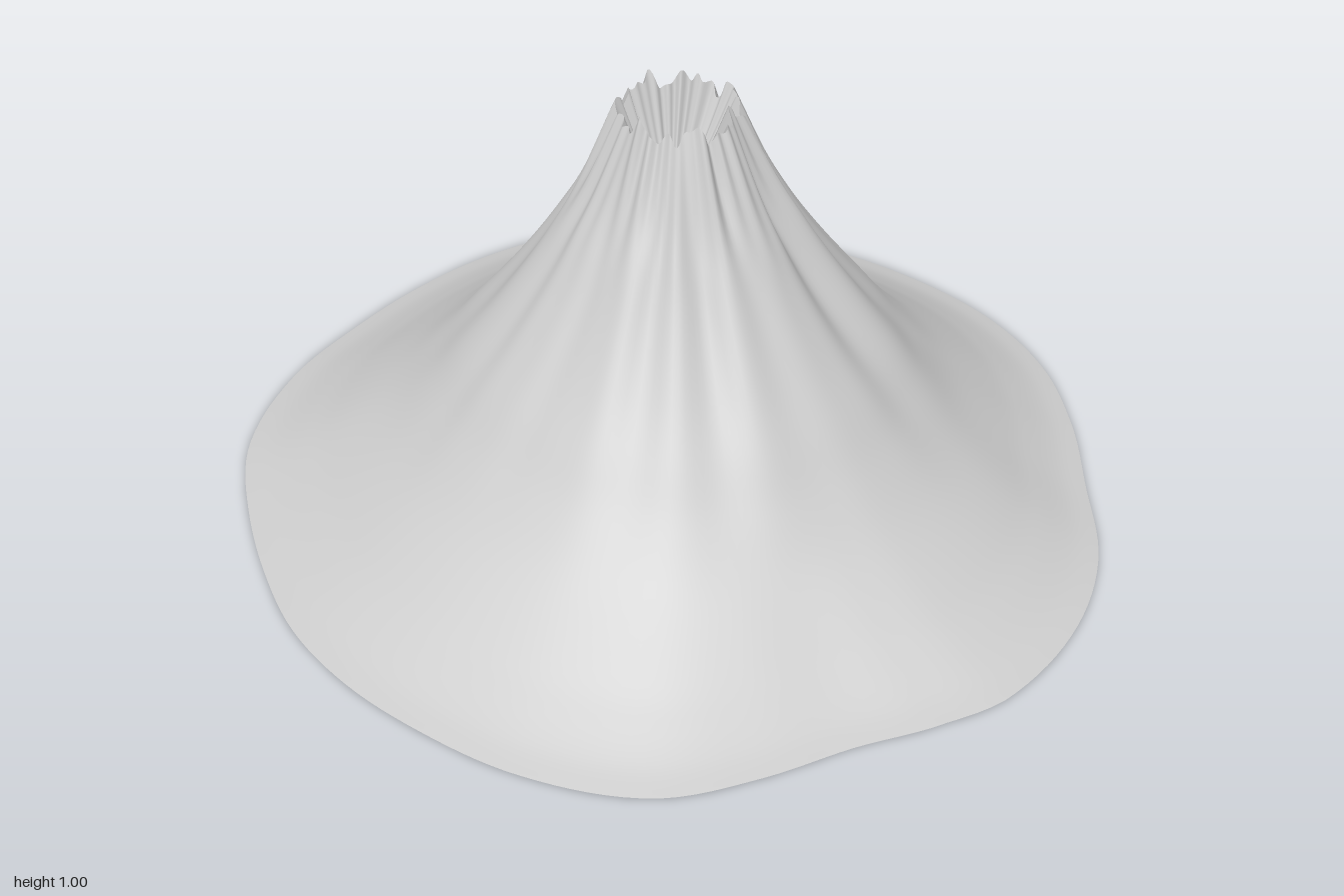
import * as THREE from 'three';

const SEG = 180;
const RIM = 0.128;
const rad = THREE.MathUtils.degToRad;
const smooth = THREE.MathUtils.smoothstep;

// Foot outline: angle in degrees (from +x towards +z) and radius
const outline = [
  [0, 0.99], [13, 0.985], [24, 0.965], [39, 0.953], [53.6, 0.994], [67, 1.012], [82, 1.008],
  [90, 0.978], [102, 0.946], [114, 0.97], [126.5, 1.008], [143, 1], [156, 0.987], [168, 0.99],
  [180, 0.995], [192, 0.992], [203.5, 1.003], [217.5, 1.03], [234, 1.016], [246, 0.992],
  [258, 0.99], [270, 1], [281, 1.01], [293, 1.012], [308, 1.012], [324.5, 0.982], [342, 0.978],
];

// Slope section from rim to foot: radius, height
const slope = new THREE.SplineCurve([
  [RIM, 0.97], [0.2, 0.81], [0.262, 0.7], [0.325, 0.6], [0.4, 0.495], [0.475, 0.4], [0.555, 0.3],
  [0.655, 0.2], [0.79, 0.1], [0.87, 0.052], [0.94, 0.018], [1, 0],
].map(([r, y]) => new THREE.Vector2(r, y)));

// Gullies: angle in degrees, half width, depth
const gullies = [
  [57, 0.16, 0.13], [22, 0.12, 0.06], [-32, 0.16, 0.12], [-66, 0.12, 0.1], [112, 0.14, 0.06],
  [135, 0.14, 0.08], [166, 0.13, 0.12], [192, 0.1, 0.06], [232, 0.2, 0.05], [265, 0.12, 0.05],
];

function footRadius(a) {
  const d = (THREE.MathUtils.radToDeg(a) + 360) % 360;
  const n = outline.length;
  let k = n - 1;
  while (outline[k][0] > d) k--;
  const at = (i) => outline[(i + n) % n];
  const span = (at(k + 1)[0] - at(k)[0] + 360) % 360;
  const t = (d - at(k)[0]) / span;
  const [p0, p1, p2, p3] = [-1, 0, 1, 2].map((o) => at(k + o)[1]);
  return p1 + 0.5 * t * (p2 - p0 + t * (2 * p0 - 5 * p1 + 4 * p2 - p3 + t * (3 * (p1 - p2) + p3 - p0)));
}

// Radial folds, strongest near the summit and fading out towards the foot
function fold(a, r) {
  const upper = 1 - smooth(r, 0.15, 0.75);
  let f = 0;
  for (const [deg, w, depth] of gullies) {
    const d = Math.atan2(Math.sin(a - rad(deg)), Math.cos(a - rad(deg)));
    f -= depth * Math.exp(-((d / w) ** 2));
  }
  const fine = 0.02 * Math.sin(11 * a + 1) + 0.02 * Math.sin(17 * a + 2.3);
  const crisp = 0.03 * Math.sin(29 * a + 0.7) * (1 - smooth(r, 0.12, 0.3));
  return 1 + 0.02 + (f + fine) * upper + crisp;
}

// Jagged lip height offset
const lip = (a) => 0.012 * Math.sin(7 * a + 0.5) + 0.011 * Math.sin(13 * a + 2) + 0.009 * Math.sin(23 * a + 4);

function slopePoint(t, a) {
  const p = slope.getPoint(t);
  const reach = smooth(p.x, 0.3, 1);
  const f = 1 + (fold(a, p.x) - 1) * (1 - reach);
  const r = p.x * f * (1 + (footRadius(a) - 1) * reach);
  const y = p.y + lip(a) * (1 - smooth(p.x, RIM, 0.25));
  return [r * Math.cos(a), y, r * Math.sin(a)];
}

function craterPoint(t, a) {
  const rim = slopePoint(0, a);
  const y = 0.72 + (rim[1] - 0.72) * Math.pow(t, 1.3);
  return [rim[0] * t - 0.01 * (1 - t), y, rim[2] * t - 0.015 * (1 - t)];
}

// Closed radial surface from rings running outward
function radialSurface(point, rings) {
  const pos = [], index = [];
  for (let i = 0; i <= rings; i++) {
    for (let j = 0; j < SEG; j++) pos.push(...point(i / rings, (j / SEG) * Math.PI * 2));
  }
  for (let i = 0; i < rings; i++) {
    for (let j = 0; j < SEG; j++) {
      const k = (j + 1) % SEG;
      const a = i * SEG + j, b = i * SEG + k, c = a + SEG, d = b + SEG;
      index.push(a, b, c, b, d, c);
    }
  }
  const g = new THREE.BufferGeometry();
  g.setAttribute('position', new THREE.Float32BufferAttribute(pos, 3));
  g.setIndex(index);
  g.computeVertexNormals();
  return g;
}

export function createModel() {
  const group = new THREE.Group();
  group.name = 'volcano';
  const rock = new THREE.MeshStandardMaterial({ color: 0xcccccc, side: THREE.DoubleSide });
  rock.name = 'pale grey rock';

  // Hollow mountain side, open underneath
  const side = new THREE.Mesh(radialSurface(slopePoint, 60), rock);
  side.name = 'mountainSlope';

  // Funnel inside the summit
  const crater = new THREE.Mesh(radialSurface(craterPoint, 14), rock);
  crater.name = 'crater';

  group.add(side, crater);
  return group;
}
